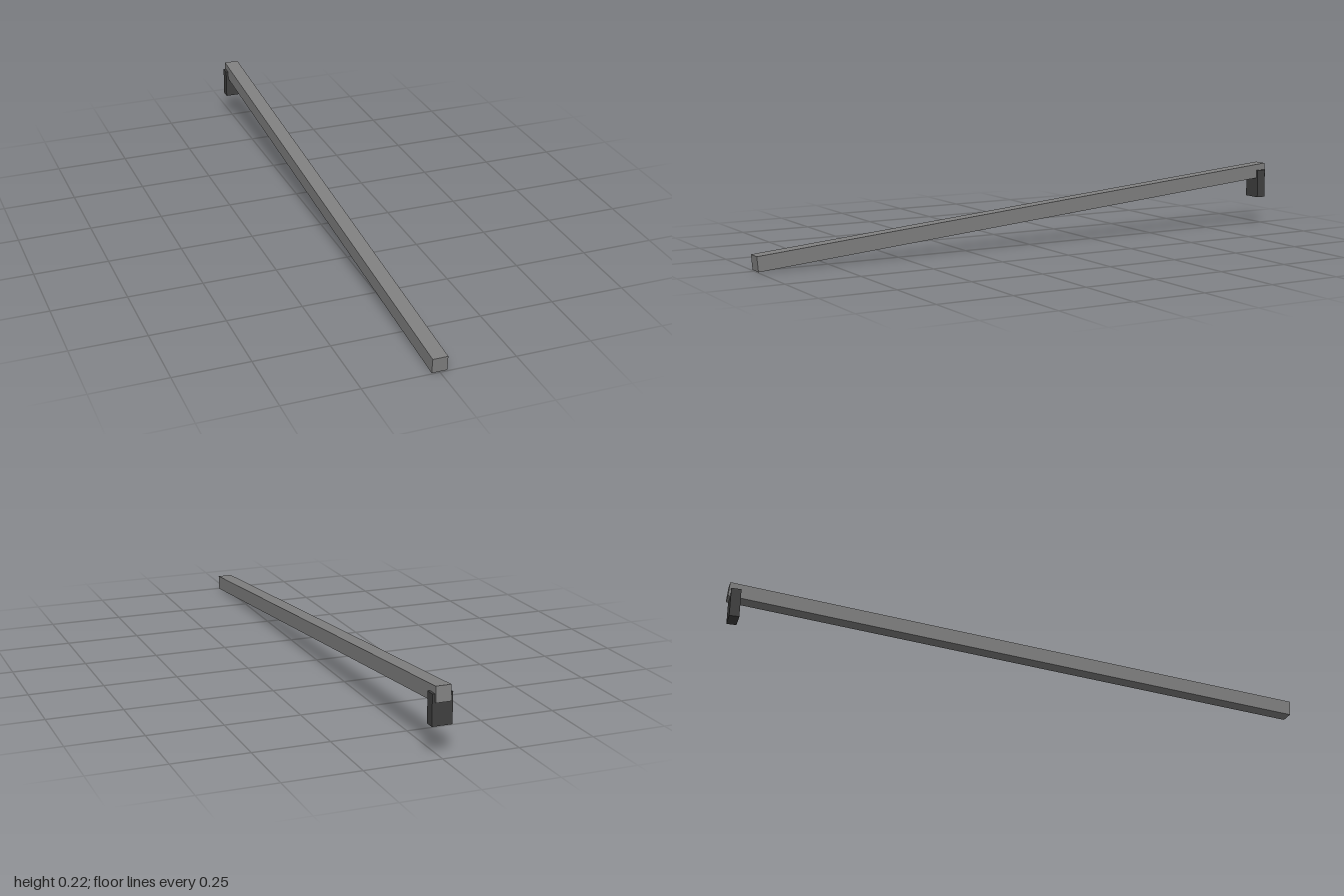
import * as THREE from 'three';

export function createModel() {
  const group = new THREE.Group();
  const beamGrey = new THREE.MeshStandardMaterial({ color: 0x808080 });
  beamGrey.name = 'beam grey';
  const darkGrey = new THREE.MeshStandardMaterial({ color: 0x404040 });
  darkGrey.name = 'dark grey';

  function addBox(name, size, position, material) {
    const mesh = new THREE.Mesh(new THREE.BoxGeometry(...size), material);
    mesh.name = name;
    mesh.position.set(...position);
    group.add(mesh);
    return mesh;
  }

  // long square beam, resting on its front end and rising 5 degrees to the back
  const tilt = THREE.MathUtils.degToRad(5);
  const thickness = 0.05;
  const length = (2 - thickness * Math.sin(tilt)) / Math.cos(tilt);
  const height = length * Math.sin(tilt) + thickness * Math.cos(tilt);
  const beam = addBox('beam', [thickness, thickness, length], [0, height / 2, 0], beamGrey);
  beam.rotation.x = tilt;

  // upright bracket wrapped around the raised end
  addBox('bracket', [0.066, 0.1, 0.033], [0, 0.15, -0.975], darkGrey);

  return group;
}
